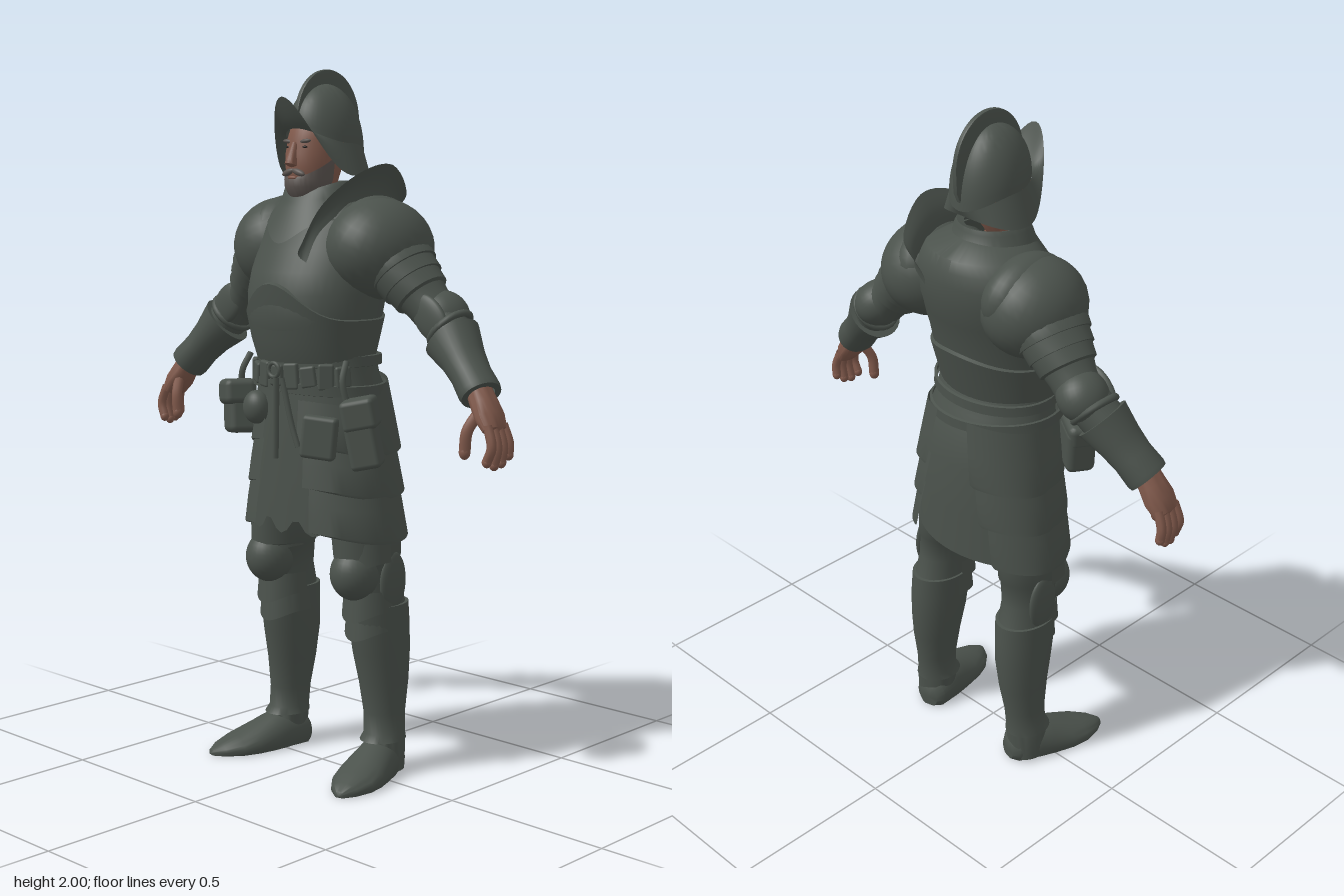
import * as THREE from 'three';
import { toCreasedNormals } from 'three/addons/utils/BufferGeometryUtils.js';
import { RoundedBoxGeometry } from 'three/addons/geometries/RoundedBoxGeometry.js';
import { ParametricGeometry } from 'three/addons/geometries/ParametricGeometry.js';

const mat = (name, color) => new THREE.MeshStandardMaterial({ name, color, side: THREE.DoubleSide });
const V = (x, y, z) => new THREE.Vector3(x, y, z);

export function createModel() {
  const root = new THREE.Group();
  root.name = 'armouredSoldier';
  const steel = mat('darkSteel', 0x4b524c), skin = mat('skin', 0x80594b);
  const hair = mat('greyBeard', 0x5c5551), dark = mat('eyeDark', 0x241f1d);

  const add = (name, geo, m = steel, parent = root) => {
    const mesh = new THREE.Mesh(geo, m);
    mesh.name = name;
    parent.add(mesh);
    return mesh;
  };
  // surface from a rule, sharp edges kept
  const surface = (fn, nu, nv, crease = 0.7) =>
    toCreasedNormals(new ParametricGeometry(fn, nu, nv), crease);
  // elliptical sections [y, rx, rz, cx, cz]; angle 0 is the front, warp(point, angle, v)
  const loft = (secs, { a0 = -Math.PI, a1 = Math.PI, seg = 40, warp, crease = 0.7 } = {}) => {
    const s = secs[0][0] > secs[secs.length - 1][0] ? [...secs].reverse() : secs;
    const n = s.length - 1;
    return surface((u, v, t) => {
      const a = a0 + (a1 - a0) * u;
      const [y, rx, rz, cx = 0, cz = 0] = s[Math.round(v * n)];
      t.set(cx + rx * Math.sin(a), y, cz + rz * Math.cos(a));
      if (warp) warp(t, a, v);
    }, seg, n, crease);
  };
  // loft along a line from the low end to the high end, sections [t, r across, r in z]
  const limb = (name, low, high, secs, m = steel, parent = root) => {
    const d = high.clone().sub(low), len = d.length();
    const mesh = add(name, loft(secs.map(([t, ...r]) => [t * len, ...r]), { seg: 28 }), m, parent);
    mesh.position.copy(low);
    mesh.quaternion.setFromUnitVectors(V(0, 1, 0), d.normalize());
    return mesh;
  };
  const ball = (name, p, r, m = steel, rz = 0, parent = root) => {
    const mesh = add(name, new THREE.SphereGeometry(1, 28, 18), m, parent);
    mesh.position.set(...p); mesh.scale.set(...r); mesh.rotation.z = rz;
    return mesh;
  };
  const box = (name, p, size, rot, r) => {
    const mesh = add(name, new RoundedBoxGeometry(...size, 2, r));
    mesh.position.set(...p); mesh.rotation.set(...rot);
    return mesh;
  };
  const rope = (name, pts, r, m = steel, parent = root) =>
    add(name, new THREE.TubeGeometry(new THREE.CatmullRomCurve3(pts.map(p => V(...p))), 16, r, 8), m, parent);
  const front = (a, p) => Math.pow(Math.max(0, Math.cos(a)), p);
  const back = (a, p) => front(a + Math.PI, p);

  // torso armour
  add('breastAndBackPlate', loft([
    [1.15, .178, .13, 0, .02], [1.2, .182, .14, 0, .025], [1.25, .192, .16, 0, .028], [1.31, .202, .176, 0, .03],
    [1.38, .21, .182, 0, .022], [1.44, .215, .182, 0, .003], [1.5, .215, .176, 0, -.02], [1.56, .21, .165, 0, -.035],
    [1.6, .19, .155, 0, -.04], [1.63, .165, .14, 0, -.04], [1.66, .09, .1, 0, -.01]], { seg: 48 }));
  add('waistPlate', loft([
    [1.19, .184, .146, 0, .026], [1.25, .196, .166, 0, .028], [1.31, .207, .181, 0, .03], [1.315, .2, .17, 0, .03]],
    { seg: 48, warp: (p, a, v) => { if (v > .5) { p.y += .1 * front(a, 5) + .03 * back(a, 4); p.z -= .012 * back(a, 2); } } }));
  add('gorget', loft([
    [1.585, .165, .16, 0, -.02], [1.625, .132, .132, 0, -.008], [1.65, .116, .112, 0, .0],
    [1.68, .108, .103, 0, .0], [1.692, .1, .098, 0, .0], [1.685, .08, .08, 0, .0]],
    { seg: 64, warp: (p, a, v) => {
      if (v < .1) { p.y -= .065 * front(a, 9); p.z += .034 * front(a, 5); }
      else p.y -= .038 * v * front(a, 2);
    } }));

  // skirt with ragged front hem
  add('skirt', loft([
    [1.21, .184, .14, 0, .02], [1.15, .19, .15, 0, .012], [1.1, .203, .163, 0, .002], [1, .216, .172, 0, -.006],
    [.85, .236, .175, 0, -.006], [.72, .25, .172, 0, -.006]],
    { seg: 72, warp: (p, a, v) => { if (v < .1) p.y += .06 * front(a, 4) * (1 - Math.abs(Math.cos(a * 7))) - .015; } }));
  // overlapping hip plates with slanted edges
  for (const s of [1, -1]) [[1.12, .93, 2.85], [.99, .81, 2.75], [.87, .685, 2.6]].forEach(([top, low, end], i) => {
    const w = .2 + i * .018, begin = .3 + i * .06;
    add('hipPlate', loft([
      [top, w, .166 + i * .002, 0, -.005], [(top + low) / 2, w + .016, .177 + i * .002, 0, -.005],
      [low + .012, w + .028, .186, 0, -.005], [low, w + .026, .181, 0, -.005]],
      { a0: s > 0 ? begin : -end, a1: s > 0 ? end : -begin, seg: 32,
        warp: (p, a, v) => {
          p.y += .04 * front(a, 2) * (1 - v) + .03 * back(a, 2);
          p.x += s * .035 * back(a, 1) * (1 - v);
        } }));
  });

  // belts, tabs and pouches
  for (const [y, rx, rz, tilt] of [[1.19, .186, .152, .01], [1.125, .2, .166, -.02]])
    add('belt', loft([[y - .016, rx, rz, 0, .012], [y - .014, rx + .008, rz + .008, 0, .012],
      [y + .014, rx + .006, rz + .008, 0, .012], [y + .016, rx, rz, 0, .012]],
      { warp: p => { p.y += tilt * p.x * 3; } }));
  for (let i = -4; i <= 4; i++) {
    const a = i * .27;
    box('beltTab', [.193 * Math.sin(a), 1.155, .013 + .168 * Math.cos(a)], [.045, .06 + .014 * (i & 1), .018], [0, a, .07 * (i % 3)], .007);
  }
  const buckle = add('buckle', new THREE.TorusGeometry(.02, .006, 8, 16));
  buckle.position.set(0, 1.17, .193);
  rope('hangingStrap', [[.01, 1.15, .193], [.0, 1.05, .185], [-.01, .92, .178]], .009);
  rope('hangingStrap', [[.03, 1.15, .19], [.06, 1.02, .182], [.08, .96, .178]], .008);
  ball('roundPouch', [-.1, 1.055, .165], [.042, .048, .035]);
  box('pouch', [-.22, 1.035, .115], [.11, .14, .085], [0, -.55, .12], .02);
  box('pouchFlap', [-.226, 1.085, .12], [.12, .075, .095], [0, -.55, .12], .02);
  box('satchel', [.265, 1.01, .115], [.085, .19, .1], [0, .6, .2], .014);
  box('satchelFlap', [.26, 1.065, .118], [.095, .085, .11], [0, .6, .2], .014);
  box('hipSheath', [.14, .99, .155], [.1, .12, .04], [0, .5, -.1], .012);
  for (const x of [-.19, .19]) rope('pouchLoop', [[x, 1.2, .1], [x * 1.05, 1.15, .125], [x * 1.1, 1.09, .12]], .009);

  // head
  add('face', loft([
    [1.6, .055, .06, 0, .0], [1.645, .05, .05, 0, .04], [1.68, .064, .074, 0, .04], [1.73, .074, .085, 0, .033],
    [1.765, .077, .087, 0, .03], [1.785, .076, .083, 0, .028], [1.805, .076, .086, 0, .024], [1.84, .072, .08, 0, .016],
    [1.89, .055, .065, 0, .0]], { crease: 1.2 }), skin);
  add('beard', loft([
    [1.635, .015, .018, 0, .08], [1.65, .052, .052, 0, .058], [1.675, .068, .077, 0, .046], [1.695, .073, .082, 0, .041],
    [1.715, .076, .083, 0, .036]], { a0: -1.7, a1: 1.7,
    warp: (p, a, v) => { if (v > .9) p.y += .05 * (1 - front(a, 1)) - .014; } }), hair);
  limb('nose', V(0, 1.735, .124), V(0, 1.795, .106),
    [[-.1, .002, .002], [0, .017, .018], [.2, .016, .018], [1, .009, .01], [1.1, 0, 0]], skin);
  for (const s of [1, -1]) {
    ball('eye', [s * .03, 1.784, .1], [.01, .004, .006], dark);
    ball('brow', [s * .032, 1.8, .1], [.021, .006, .009], hair, s * .1);
    ball('moustache', [s * .019, 1.715, .114], [.025, .009, .009], hair, -s * .3);
  }
  ball('lowerLip', [0, 1.7, .119], [.016, .005, .006], skin);

  // combed helmet
  const rimY = a => 1.75 + .085 * front(a, 2) + .045 * Math.sin(a) ** 2;
  add('helmetBowl', surface((u, v, t) => {
    const a = (u * 2 - 1) * Math.PI, e = v * Math.PI / 2, r = Math.cos(e);
    t.set(.1 * r * Math.sin(a), rimY(a) + (1.96 - rimY(a)) * Math.sin(e), -.012 + .119 * r * Math.cos(a));
  }, 48, 14));
  add('helmetBrim', surface((u, v, t) => {
    const a = (u * 2 - 1) * Math.PI, k = 1 - v, f = front(a, 3);
    const outer = 1.705 + .215 * f + .03 * back(a, 2);
    t.set((.1 + .03 * k) * Math.sin(a), rimY(a) + Math.pow(k, 1 + .5 * f) * (outer - rimY(a)),
      -.012 + (.119 + k * (.012 + .04 * f - .02 * back(a, 1))) * Math.cos(a));
  }, 64, 6));
  const comb = new THREE.Shape();
  comb.moveTo(0, 1.82);
  comb.lineTo(.105, 1.86);
  comb.absellipse(-.02, 1.86, .125, .14, 0, Math.PI, false);
  comb.lineTo(-.142, 1.8);
  comb.lineTo(-.12, 1.75);
  const combGeo = new THREE.ExtrudeGeometry(comb, { depth: .008, bevelSize: .004, bevelThickness: .004, bevelSegments: 2, bevelOffset: -.004, curveSegments: 32 });
  add('helmetComb', toCreasedNormals(combGeo.rotateY(-Math.PI / 2).translate(.004, 0, 0), .6));

  // raised guard on the left shoulder
  const curve = pts => new THREE.CatmullRomCurve3(pts.map(p => V(...p)));
  const low = curve([[.06, 1.54, -.2], [.11, 1.58, -.19], [.14, 1.62, -.09], [.14, 1.62, .03], [.11, 1.55, .125], [.09, 1.47, .155]]);
  const high = curve([[.07, 1.6, -.218], [.135, 1.65, -.205], [.178, 1.735, -.1], [.172, 1.72, .01], [.125, 1.625, .13], [.075, 1.5, .172]]);
  add('shoulderGuard', surface((u, v, t) => {
    t.copy(low.getPoint(u)).lerp(high.getPoint(u), v);
    t.x -= .012 * Math.sin(v * Math.PI);
  }, 30, 6));

  for (const s of [1, -1]) {
    const arm = new THREE.Group(), leg = new THREE.Group();
    arm.name = s > 0 ? 'leftArm' : 'rightArm';
    leg.name = s > 0 ? 'leftLeg' : 'rightLeg';
    root.add(arm, leg);
    const P = (x, y, z) => V(s * x, y, z);

    // shoulder and arm plates
    ball('shoulderPlate', [s * .188, 1.505, -.035], s > 0 ? [.142, .14, .168] : [.138, .14, .155], steel, -s * .4, arm);
    ball('shoulderYoke', [s * .165, 1.54, -.045], [.085, .112, .145], steel, -s * .15, arm);
    limb('upperArmPlates', P(.385, 1.325, -.06), P(.215, 1.505, -.035), [
      [0, .06, .066], [.2, .062, .07], [.3, .066, .076], [.32, .076, .086], [.48, .077, .094], [.48, .084, .1],
      [.64, .084, .106], [.64, .092, .112], [.85, .094, .122], [1, .08, .1]], steel, arm);
    ball('elbowPlate', [s * .398, 1.328, -.068], [.074, .066, .074], steel, -s * .8, arm);
    ball('elbowWing', [s * .4, 1.325, -.005], [.05, .075, .018], steel, s * .75, arm);
    const band = add('elbowBand', new THREE.TorusGeometry(.064, .01, 8, 28), steel, arm);
    band.position.set(s * .43, 1.295, -.055);
    band.rotation.set(Math.PI / 2, s * .8, 0, 'ZXY');
    limb('forearmPlate', P(.582, 1.132, -.005), P(.395, 1.325, -.06), [
      [0, .036, .042], [0, .053, .06], [.05, .056, .062], [.25, .053, .06], [.45, .06, .065], [.72, .082, .073],
      [.72, .06, .062], [1, .058, .065]], steel, arm);
    // hand
    limb('palm', P(.638, 1.045, .006), P(.575, 1.14, -.005),
      [[-.14, 0, 0], [0, .022, .045], [.35, .033, .05], [.7, .035, .042], [1.1, .034, .036]], skin, arm);
    [-.03, -.009, .012, .033].forEach((z, i) => {
      const l = [.062, .08, .085, .075][i], q = [s * (.654 - i * .004), 1.04 - l, z * 1.2 + .004];
      rope('finger', [[s * .638, 1.06, z + .004], [s * .656, 1.035 - l * .4, z * 1.15 + .004], q], .0132, skin, arm);
      ball('fingertip', q, [.0132, .015, .0132], skin, 0, arm);
    });
    rope('thumb', [[s * .595, 1.09, .022], [s * .578, 1.04, .048], [s * .572, .985, .05]], .0155, skin, arm);
    ball('thumbTip', [s * .572, .985, .05], [.0155, .02, .0155], skin, 0, arm);

    // leg, with the greave stepped out below the knee and over the shoe
    add('legPlates', loft([
      [.95, .09, .11, .135, -.01], [.72, .083, .115, .163, -.01], [.64, .08, .112, .168, -.012], [.63, .074, .1, .17, -.018],
      [.56, .068, .088, .175, -.03], [.5, .07, .092, .178, -.042], [.5, .077, .1, .178, -.045], [.44, .075, .1, .18, -.05],
      [.36, .072, .094, .182, -.057], [.27, .064, .08, .187, -.062], [.18, .055, .066, .192, -.06],
      [.12, .055, .064, .195, -.057], [.1, .062, .072, .196, -.05], [.1, .058, .064, .197, -.055], [.01, .055, .06, .198, -.055]]
      .map(([y, a, b, x, z]) => [y, a, b, s * x, z]), { seg: 32 }), steel, leg);
    ball('kneePlate', [s * .172, .595, .042], [.07, .078, .076], steel, 0, leg);
    ball('kneeWing', [s * .24, .57, -.04], [.016, .085, .052], steel, 0, leg);
    for (const [y, r, z] of [[.66, .082, -.004], [.515, .077, -.024], [.46, .078, -.037]])
      add('kneeLame', loft([[y - .03, r, r + .016, s * .174, z], [y + .03, r - .003, r + .008, s * .174, z]], {
        a0: -1.7, a1: 1.7, seg: 24, warp: (p, a, v) => { p.y -= .03 * front(a, 3) * (1 - v); } }), steel, leg);

    // pointed shoe, flat beneath
    const shoe = loft([
      [-.12, 0, 0, 0, -.03], [-.118, .03, .035, 0, -.03], [-.1, .05, .055, 0, -.035], [-.03, .062, .075, 0, -.035], [.02, .067, .07, 0, -.025],
      [.08, .072, .052, 0, -.018], [.13, .066, .038, 0, -.014], [.18, .042, .024, 0, -.01], [.21, .014, .012, 0, -.006], [.215, 0, 0, 0, -.005]],
      { seg: 28, warp: p => { p.z = Math.min(p.z, 0); } });
    const foot = add('shoe', shoe.rotateX(Math.PI / 2), steel, leg);
    foot.position.set(s * .207, 0, 0);
    foot.rotation.y = s * .27;
  }
  return root;
}
